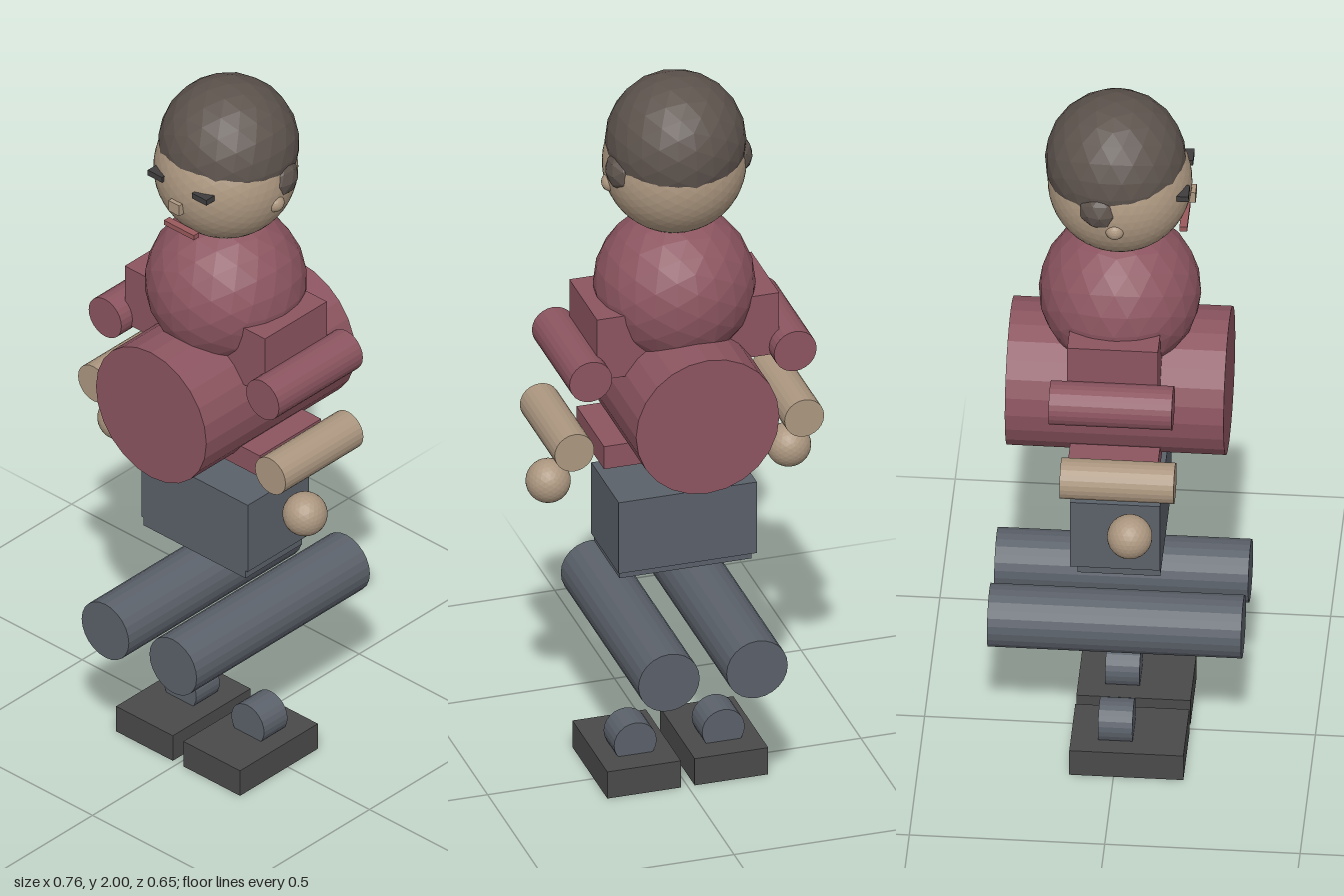
import * as THREE from 'three';

const mat = (color) => new THREE.MeshStandardMaterial({ color, flatShading: true });

export function createModel() {
  const model = new THREE.Group();
  const skin = mat(0xac9780);
  const hairMat = mat(0x5d534d);
  const shirt = mat(0x8c5560);
  const trousers = mat(0x5b616a);
  const shoe = mat(0x4a4a4a);
  const dark = mat(0x3f3d3e);
  const lip = mat(0x9a5a5c);

  const add = (name, geometry, material, x, y, z) => {
    const mesh = new THREE.Mesh(geometry, material);
    mesh.name = name;
    mesh.position.set(x, y, z);
    model.add(mesh);
    return mesh;
  };
  const box = (name, material, w, h, d, x, y, z) =>
    add(name, new THREE.BoxGeometry(w, h, d), material, x, y, z);
  const ball = (name, material, r, detail, x, y, z) =>
    add(name, new THREE.IcosahedronGeometry(r, detail), material, x, y, z);
  // Cylinder lying along z
  const rod = (name, material, r, length, x, y, z) =>
    add(name, new THREE.CylinderGeometry(r, r, length, 24).rotateX(Math.PI / 2), material, x, y, z);

  // Head and hair
  ball('head', skin, 0.185, 7, 0, 1.753, 0);
  ball('hair', hairMat, 0.181, 3, 0, 1.82, -0.011);
  box('nose', skin, 0.037, 0.032, 0.03, 0, 1.72, 0.18);
  box('mouth', lip, 0.104, 0.014, 0.02, 0, 1.643, 0.166);

  // Torso
  ball('upperChest', shirt, 0.208, 3, 0, 1.403, 0);
  box('shoulders', shirt, 0.488, 0.175, 0.232, 0, 1.303, 0);
  rod('belly', shirt, 0.192, 0.56, 0, 1.125, 0);
  box('shirtHem', shirt, 0.45, 0.065, 0.23, 0, 0.988, 0);

  // Hips
  box('hips', trousers, 0.37, 0.205, 0.23, 0, 0.748, 0.002);
  box('seat', trousers, 0.354, 0.04, 0.212, 0, 0.642, 0.011);

  // Paired parts
  for (const [side, s] of [['left', 1], ['right', -1]]) {
    box(side + 'Eye', dark, 0.05, 0.016, 0.03, s * 0.077, 1.777, 0.168);
    ball(side + 'Ear', skin, 0.025, 3, s * 0.17, 1.72, 0);
    ball(side + 'Sideburn', hairMat, 0.06, 1, s * 0.136, 1.77, -0.038);
    rod(side + 'UpperArm', shirt, 0.057, 0.315, s * 0.274, 1.237, 0);
    rod(side + 'Forearm', skin, 0.053, 0.292, s * 0.308, 1.022, 0.019);
    ball(side + 'Hand', skin, 0.058, 4, s * 0.322, 0.855, 0.05);
    rod(side + 'Leg', trousers, 0.082, 0.65, s * 0.118, 0.427, 0);
    rod(side + 'Ankle', trousers, 0.057, 0.088, s * 0.118, 0.11, 0.001);
    box(side + 'Foot', shoe, 0.197, 0.077, 0.292, s * 0.117, 0.0385, 0.033);
  }
  return model;
}
